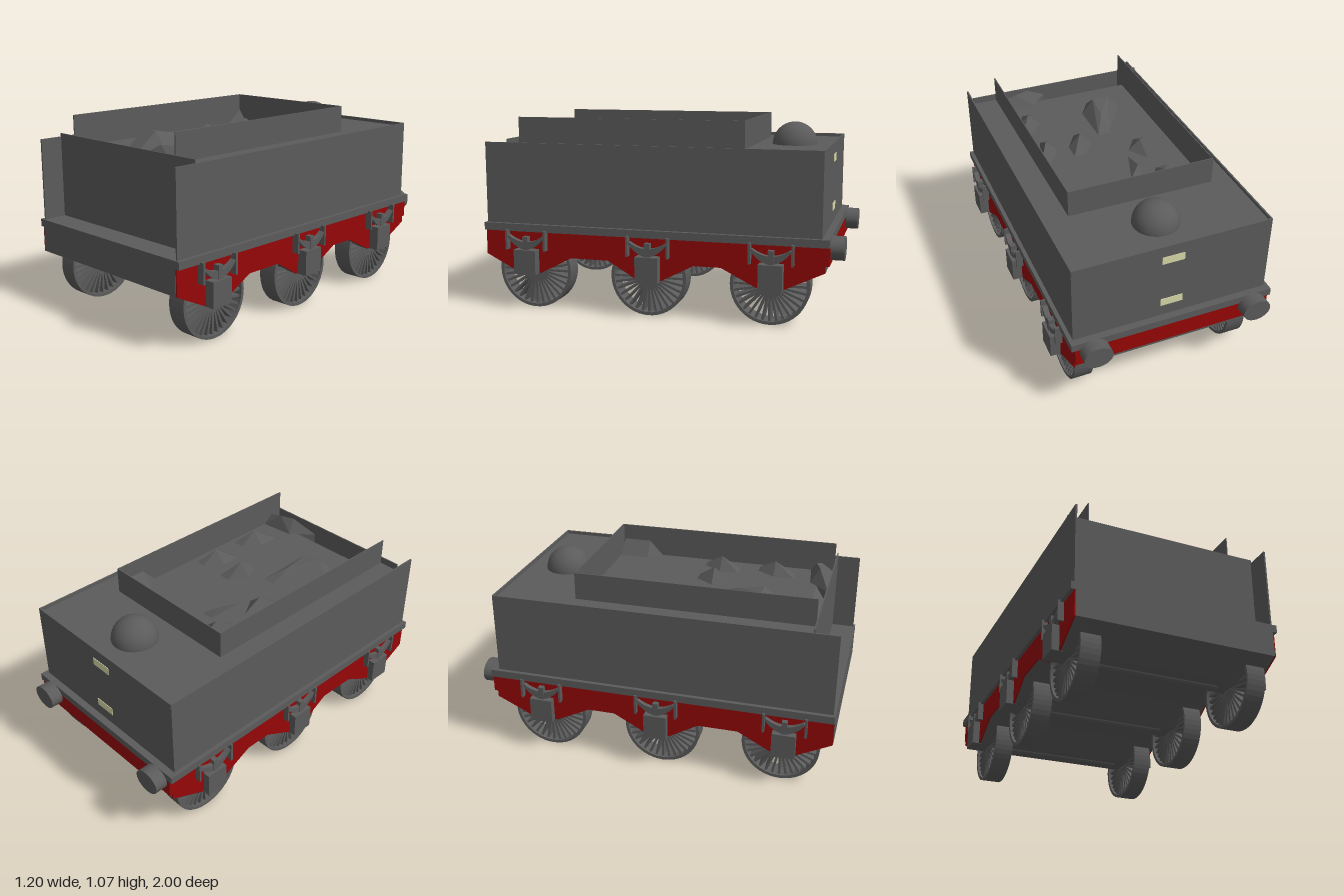
import * as THREE from 'three';
import { ConvexGeometry } from 'three/addons/geometries/ConvexGeometry.js';

const material = (color, extra = {}) => new THREE.MeshStandardMaterial({ color, ...extra });
const DARK = 0x5b5b5b;

export function createModel() {
  const grey = material(DARK);
  const flatGrey = material(DARK, { flatShading: true });
  const red = material(0x960606);
  const cream = material(0xd9d9a8);
  const model = new THREE.Group();
  model.name = 'tender';

  const add = (name, geometry, mat = grey, parent = model) => {
    const mesh = new THREE.Mesh(geometry, mat);
    mesh.name = name;
    parent.add(mesh);
    return mesh;
  };
  // Box given by its limits on each axis
  const box = (name, [x0, x1], [y0, y1], [z0, z1], mat = grey, parent = model) => {
    const g = new THREE.BoxGeometry(x1 - x0, y1 - y0, z1 - z0);
    g.translate((x0 + x1) / 2, (y0 + y1) / 2, (z0 + z1) / 2);
    return add(name, g, mat, parent);
  };
  // Side outline given as (z, y), extruded from x0 to x1
  const sideExtrude = (points, x0, x1) => {
    const shape = new THREE.Shape(points.map(([z, y]) => new THREE.Vector2(z, y)));
    const g = new THREE.ExtrudeGeometry(shape, { depth: x1 - x0, bevelEnabled: false });
    return g.rotateY(-Math.PI / 2).translate(x1, 0, 0);
  };
  const L = -0.556, R = 0.54; // outer faces of the tank

  // Water tank with a recessed coal space
  box('tank', [L, R], [0.48, 0.8], [-0.89, 0.86]);
  const deck = new THREE.Shape([[L, -0.86], [R, -0.86], [R, 0.89], [L, 0.89]]
    .map(p => new THREE.Vector2(...p)));
  deck.holes.push(new THREE.Path([[-0.435, -0.855], [-0.435, 0.45], [0.392, 0.45], [0.392, -0.855]]
    .map(p => new THREE.Vector2(...p))));
  const deckGeometry = new THREE.ExtrudeGeometry(deck, { depth: 0.115, bevelEnabled: false });
  add('tankDeck', deckGeometry.rotateX(-Math.PI / 2).translate(0, 0.8, 0));
  box('sideSheetRight', [L - 0.003, L + 0.006], [0.48, 0.934], [-0.89, 0.99]);
  box('sideSheetLeft', [R - 0.006, R + 0.003], [0.48, 0.934], [-0.89, 0.99]);
  box('rearRim', [L, R], [0.9, 0.934], [-0.891, -0.882]);
  box('frontSheet', [L + 0.003, R - 0.003], [0.48, 0.953], [0.855, 0.862]);

  // Coal rails: two sides and a back, open at the front
  box('coalRailRight', [-0.437, -0.431], [0.8, 1.066], [-0.45, 0.855]);
  box('coalRailLeft', [0.388, 0.394], [0.8, 1.066], [-0.45, 0.855]);
  box('coalRailBack', [-0.437, 0.394], [0.8, 1.066], [-0.453, -0.447]);

  // Coal bed sloping down at the front
  const bedOutline = [[-0.45, 0.79], [0.855, 0.79], [0.855, 0.81], [0.78, 0.89], [-0.45, 0.89]];
  add('coalBed', sideExtrude(bedOutline, -0.434, 0.391), flatGrey);
  // Coal lumps: base outline (x, z), then peak points (x, z, y)
  const lumps = [
    [[[-0.3, -0.18], [-0.23, -0.39], [-0.16, -0.29], [-0.23, -0.18]], [[-0.23, -0.29, 0.95]]],
    [[[-0.13, -0.23], [-0.06, -0.23], [-0.13, -0.02]], [[-0.125, -0.17, 0.93]]],
    [[[-0.23, -0.07], [-0.16, 0.04], [-0.23, 0.14], [-0.3, 0.14]], [[-0.23, 0.04, 0.95]]],
    [[[0.01, 0.2], [0.08, 0.1], [0.15, 0.1], [0.15, 0.2], [0.08, 0.31]], [[0.08, 0.2, 0.97]]],
    [[[0.22, 0.2], [0.29, 0.1], [0.35, 0.1], [0.29, 0.31], [0.22, 0.31]], [[0.29, 0.2, 0.96]]],
    [[[-0.3, 0.53], [-0.13, 0.26], [-0.06, 0.26], [-0.06, 0.53], [-0.13, 0.64], [-0.23, 0.64]],
      [[-0.23, 0.53, 0.974], [-0.13, 0.53, 0.974], [-0.13, 0.39, 0.95]]],
    [[[0.22, 0.52], [0.29, 0.42], [0.36, 0.42], [0.36, 0.52], [0.29, 0.64], [0.22, 0.64]], [[0.29, 0.52, 0.96]]],
    [[[-0.43, -0.446], [-0.37, -0.446], [-0.43, -0.35]], [[-0.43, -0.445, 0.97]]],
    [[[0.32, -0.446], [0.388, -0.446], [0.388, -0.2], [0.32, -0.28]], [[0.387, -0.28, 0.975], [0.387, -0.44, 0.975]]],
    [[[0.08, 0.854], [0.19, 0.74], [0.388, 0.72], [0.388, 0.854]],
      [[0.21, 0.79, 0.974], [0.29, 0.76, 0.974], [0.387, 0.78, 0.94]]],
  ];
  for (const [base, peaks] of lumps) {
    const points = base.map(([x, z]) => new THREE.Vector3(x, 0.81, z))
      .concat(base.map(([x, z]) => new THREE.Vector3(x, 0.89, z)))
      .concat(peaks.map(([x, z, y]) => new THREE.Vector3(x, y, z)));
    add('coalLump', new ConvexGeometry(points), flatGrey);
  }

  // Filler dome and rear plates
  add('fillerDome', new THREE.SphereGeometry(0.127, 32, 20)).position.set(-0.005, 0.914, -0.663);
  for (const y of [0.847, 0.57]) box('rearPlate', [-0.065, 0.06], [y - 0.022, y + 0.022], [-0.893, -0.88], cream);

  // Footplate, frame and end beams
  box('footplate', [-0.581, 0.565], [0.44, 0.482], [-0.93, 1]);
  box('frontBeam', [L, R], [0.3, 0.482], [0.97, 1]);
  const frameOutline = [
    [-0.91, 0.44], [-0.91, 0.305], [-0.7, 0.205], [-0.55, 0.205], [-0.36, 0.3], [-0.21, 0.3],
    [-0.03, 0.205], [0.11, 0.205], [0.27, 0.3], [0.49, 0.3], [0.67, 0.205], [0.81, 0.205], [0.998, 0.3], [0.998, 0.44],
  ];
  add('frameCore', sideExtrude(frameOutline, L + 0.002, R - 0.002));
  add('framePlateRight', sideExtrude(frameOutline, L - 0.006, L + 0.002), red);
  add('framePlateLeft', sideExtrude(frameOutline, R - 0.002, R + 0.006), red);
  box('rearBeam', [L - 0.006, R + 0.006], [0.34, 0.44], [-0.93, -0.905], red);

  // Buffers, slightly wider than tall
  for (const x of [-0.465, 0.443]) {
    const buffer = add('buffer', new THREE.CylinderGeometry(0.079, 0.079, 0.095, 28));
    buffer.geometry.rotateX(Math.PI / 2).scale(1, 0.8, 1);
    buffer.position.set(x, 0.42, -0.9525);
  }

  // Spoked wheel with its axis along x
  const rimProfile = [[0.196, -0.053], [0.213, -0.053], [0.213, 0.053], [0.196, 0.053], [0.196, -0.053]]
    .map(p => new THREE.Vector2(...p));
  const rimGeometry = new THREE.LatheGeometry(rimProfile, 48).rotateZ(Math.PI / 2);
  const hubGeometry = new THREE.CylinderGeometry(0.035, 0.035, 0.09, 20).rotateZ(Math.PI / 2);
  const spokeGeometry = new THREE.BoxGeometry(0.08, 0.185, 0.013).translate(0, 0.113, 0);
  const rimMaterial = material(DARK, { flatShading: true, side: THREE.DoubleSide });
  for (const z of [0.717, 0.05, -0.617]) {
    for (const x of [-0.447, 0.463]) {
      const wheel = new THREE.Group();
      wheel.name = 'wheel';
      wheel.position.set(x, 0.213, z);
      add('rim', rimGeometry, rimMaterial, wheel);
      add('hub', hubGeometry, grey, wheel);
      for (let i = 0; i < 32; i++) add('spoke', spokeGeometry, grey, wheel).rotation.x = (i / 32) * Math.PI * 2;
      model.add(wheel);
    }
    const axle = add('axle', new THREE.CylinderGeometry(0.03, 0.03, 0.71, 20).rotateZ(Math.PI / 2));
    axle.position.set(-0.004, 0.215, z);
  }

  // Axle boxes with leaf springs and hangers
  const leaf = new THREE.Shape();
  leaf.moveTo(-0.112, 0.415);
  leaf.quadraticCurveTo(0, 0.27, 0.112, 0.415);
  leaf.lineTo(0.1, 0.42);
  leaf.quadraticCurveTo(0, 0.35, -0.1, 0.42);
  const leafGeometry = new THREE.ExtrudeGeometry(leaf, { depth: 0.03, bevelEnabled: false, curveSegments: 10 })
    .rotateY(-Math.PI / 2).translate(0.015, 0, 0);
  for (const z of [0.744, 0.037, -0.632]) {
    for (const side of [-1, 1]) {
      const spring = new THREE.Group();
      spring.name = 'axleBoxAndSpring';
      spring.position.set(side * 0.572, 0, z);
      box('axleBox', [-0.03, 0.03], [0.203, 0.342], [-0.064, 0.064], grey, spring);
      box('springBuckle', [-0.018, 0.018], [0.34, 0.415], [-0.015, 0.015], grey, spring);
      add('leafSpring', leafGeometry, grey, spring);
      for (const dz of [-0.113, 0.113])
        box('springHanger', [-0.022, 0.018], [0.338, 0.45], [dz - 0.006, dz + 0.006], grey, spring);
      model.add(spring);
    }
  }
  return model;
}
